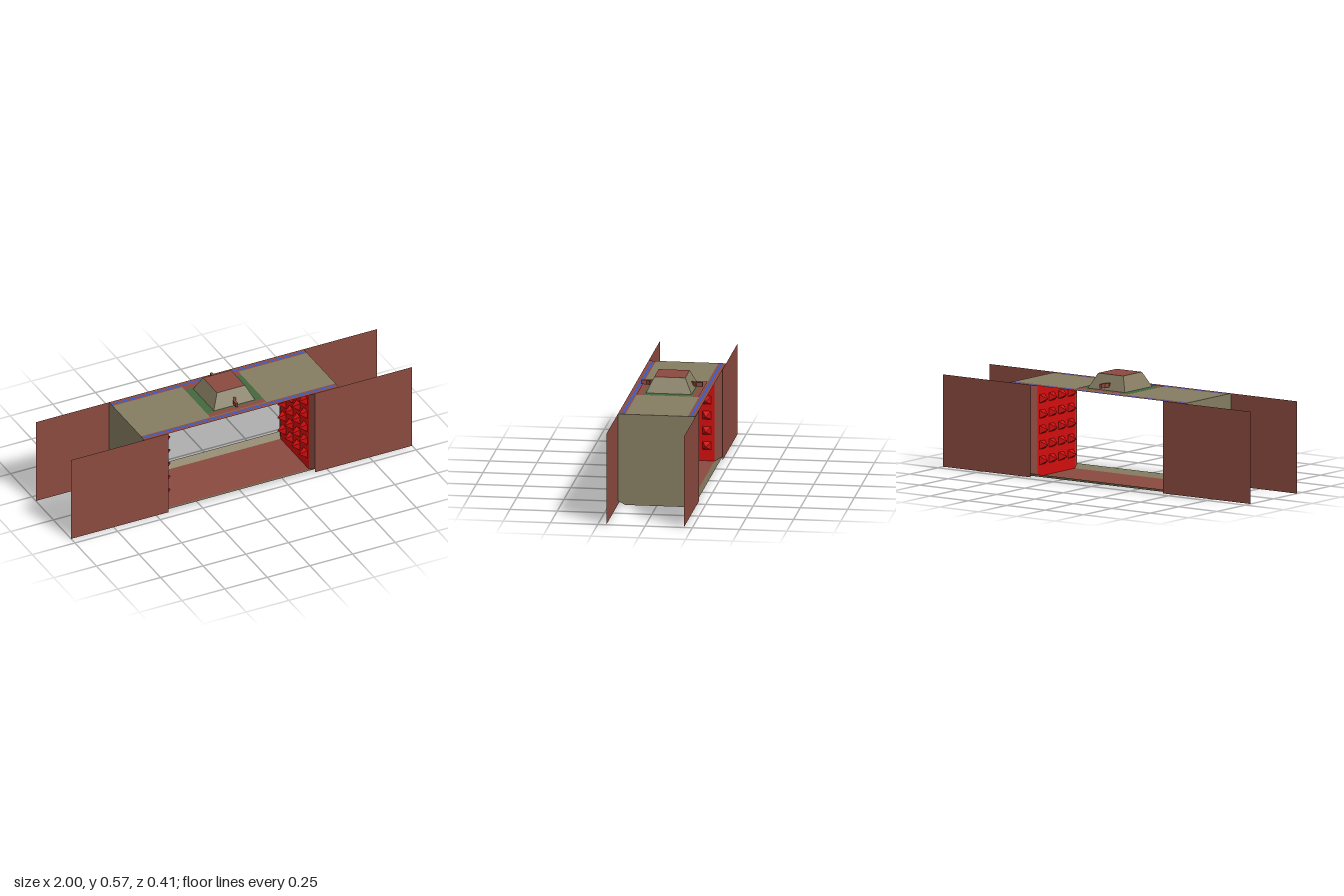
import * as THREE from 'three';

const mat = (name, color) => {
  const m = new THREE.MeshStandardMaterial({ color, side: THREE.DoubleSide, flatShading: true });
  m.name = name;
  return m;
};

export function createModel() {
  const brick = mat('brick red', 0x8b4a3f);
  const olive = mat('olive', 0x857c61);
  const green = mat('green', 0x44693f);
  const blue = mat('blue', 0x3558cc);
  const red = mat('bright red', 0xd20d0d);

  const root = new THREE.Group();
  const add = (name, geo, material, x = 0, y = 0, z = 0) => {
    const m = new THREE.Mesh(geo, material);
    m.name = name;
    m.position.set(x, y, z);
    root.add(m);
    return m;
  };
  // Flat four-cornered sheet
  const sheet = (a, b, c, d) => {
    const g = new THREE.BufferGeometry();
    g.setAttribute('position', new THREE.Float32BufferAttribute([...a, ...b, ...c, ...d], 3));
    g.setIndex([0, 1, 2, 0, 2, 3]);
    g.computeVertexNormals();
    return g;
  };
  // Horizontal rectangle, optionally with a square hole
  const level = (x0, x1, z0, z1, hole = 0) => {
    const rect = (T, a, b, c, d) =>
      new T([[a, c], [b, c], [b, d], [a, d]].map(([x, z]) => new THREE.Vector2(x, -z)));
    const s = rect(THREE.Shape, x0, x1, z0, z1);
    if (hole) s.holes.push(rect(THREE.Path, -hole, hole, -hole, hole));
    return new THREE.ShapeGeometry(s).rotateX(-Math.PI / 2);
  };

  const L = 0.57, W = 0.205, IN = 0.165, H = 0.49, DOOR = 0.43, CH = 0.02, WALL = 0.415;

  // Roof with edge rails
  add('roof', level(-L, L, -IN, IN, 0.12), olive, 0, H);
  for (const s of [-1, 1]) {
    for (const [a, b, m, n] of [
      [0.165, 0.175, brick, 'innerRail'],
      [0.175, 0.187, blue, 'railStripe'],
      [0.187, 0.205, brick, 'outerRail']])
      add(n, level(-L, L, Math.min(s * a, s * b), Math.max(s * a, s * b)), m, 0, H);
  }

  // Floor tray: flat panels with raised sloping edges
  add('floor', level(-DOOR, DOOR, -IN, IN), brick);
  for (const s of [-1, 1]) {
    add('floorEnd', level(Math.min(s * DOOR, s * L), Math.max(s * DOOR, s * L), -IN, IN), olive);
    add('floorEdge', sheet([-L, 0, s * IN], [L, 0, s * IN], [L, CH, s * W], [-L, CH, s * W]), olive);
  }

  // End walls, spiked inner walls and sliding doors
  const endShape = new THREE.Shape([
    [-IN, 0], [IN, 0], [W, CH], [W, H], [-W, H], [-W, CH]].map(p => new THREE.Vector2(...p)));
  const endGeo = new THREE.ShapeGeometry(endShape).rotateY(Math.PI / 2);
  const wallGeo = new THREE.PlaneGeometry(2 * IN, H).rotateY(Math.PI / 2);
  const doorGeo = new THREE.PlaneGeometry(1 - DOOR, H);
  const spikeGeo = new THREE.ConeGeometry(0.031, 0.04, 4).rotateY(Math.PI / 4).rotateZ(Math.PI / 2);
  for (const s of [-1, 1]) {
    add('endWall', endGeo, olive, s * L);
    add('spikeWall', wallGeo, red, s * WALL, H / 2);
    for (const t of [-1, 1]) {
      add('wallEdge', sheet([s * WALL, 0, t * IN], [s * DOOR, CH, t * W],
        [s * DOOR, H, t * W], [s * WALL, H, t * IN]), brick);
      add('door', doorGeo, brick, s * (1 + DOOR) / 2, H / 2, t * W);
    }
    for (let r = 0; r < 5; r++)
      for (let c = 0; c < 4; c++) {
        const spike = add('spike', spikeGeo, red, s * 0.395, 0.082 * (r + 1), (c - 1.5) * 0.083);
        if (s < 0) spike.rotation.y = Math.PI;
      }
  }

  // Hatch plate on the roof
  add('hatchPlate', level(-0.165, 0.165, -0.13, 0.13, 0.12), green, 0, H + 0.003);
  for (const s of [-1, 1])
    add('hatchStrip', level(-0.165, 0.165, -0.0175, 0.0175), brick, 0, H + 0.003, s * 0.1475);

  // Tapered hatch housing, open below
  const r2 = Math.SQRT2;
  add('housing', new THREE.CylinderGeometry(0.082 * r2, 0.122 * r2, 0.082, 4, 1, true)
    .rotateY(Math.PI / 4), olive, 0, H + 0.041);
  add('housingTop', level(-0.082, 0.082, -0.082, 0.082), brick, 0, H + 0.082);
  add('housingLining', level(-0.104, 0.104, -0.104, 0.104), green, 0, H + 0.034);

  // Cranked rod running through the housing
  const path = [[0.006, -0.163], [0.006, -0.132], [-0.008, -0.113], [-0.008, -0.03], [0.02, -0.02],
    [-0.02, 0.02], [0.008, 0.03], [0.008, 0.113], [-0.006, 0.132], [-0.006, 0.163]];
  for (let i = 1; i < path.length; i++) {
    const [x0, z0] = path[i - 1], [x1, z1] = path[i];
    const rod = add('crankRod', new THREE.BoxGeometry(0.012, 0.023, Math.hypot(x1 - x0, z1 - z0)),
      brick, (x0 + x1) / 2, 0.52, (z0 + z1) / 2);
    rod.rotation.y = Math.atan2(x1 - x0, z1 - z0);
  }
  return root;
}
